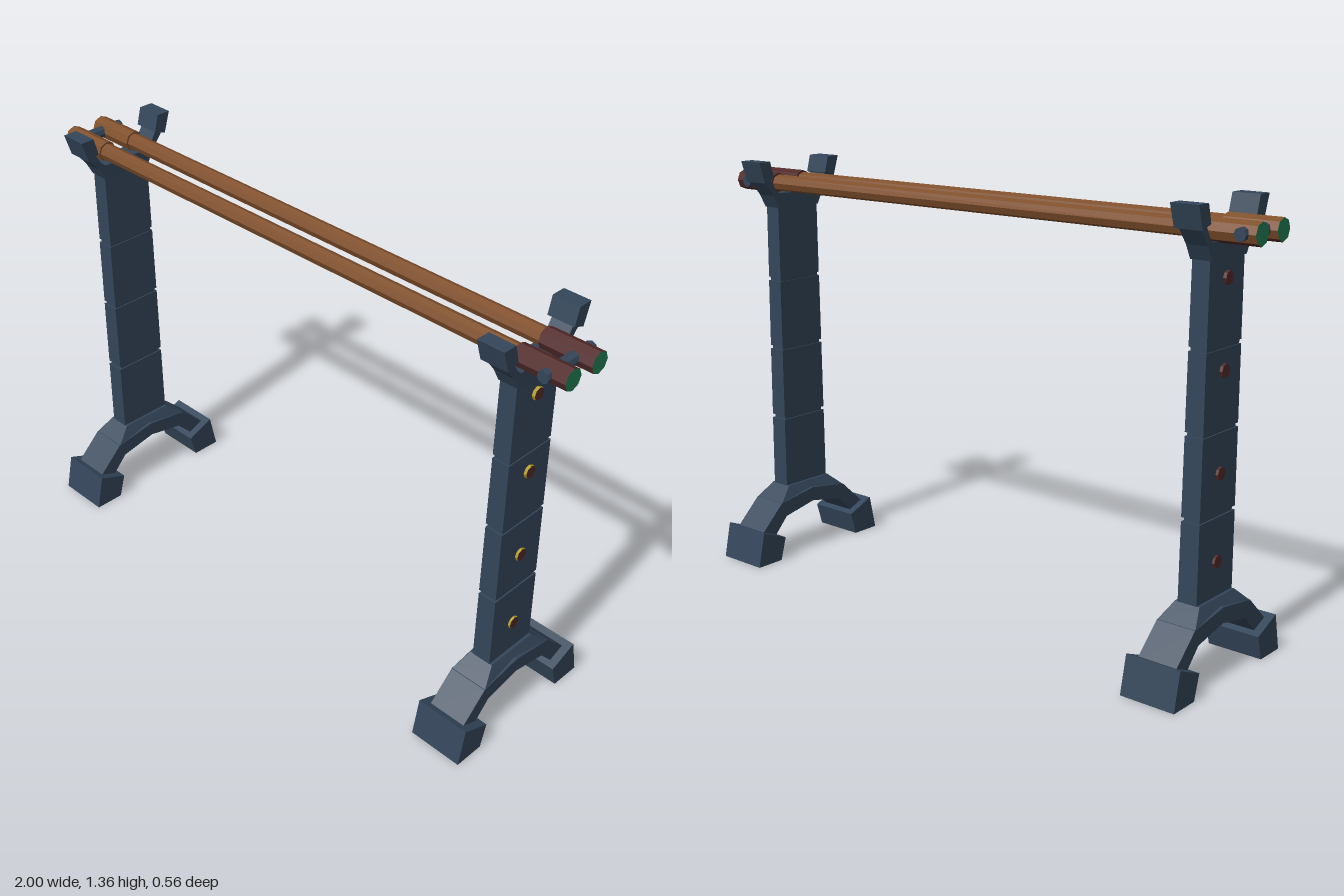
import * as THREE from 'three';

const mat = (name, color) => {
  const m = new THREE.MeshStandardMaterial({ color, flatShading: true });
  m.name = name;
  return m;
};

export function createModel() {
  const slate = mat('slate blue', 0x34465a);
  const wood = mat('wood brown', 0x80502c);
  const maroon = mat('dark maroon', 0x532a2a);
  const green = mat('pole end green', 0x218056);
  const yellow = mat('stud yellow', 0xb09a22);

  const root = new THREE.Group();
  root.name = 'doublePoleStand';

  const add = (parent, name, geometry, material, x = 0, y = 0, z = 0) => {
    const mesh = new THREE.Mesh(geometry, material);
    mesh.name = name;
    mesh.position.set(x, y, z);
    parent.add(mesh);
    return mesh;
  };
  // Extrudes a [z, y] outline along x, centred on x = 0
  const slab = (points, halfX) => {
    const shape = new THREE.Shape(points.map(([z, y]) => new THREE.Vector2(-z, y)));
    const g = new THREE.ExtrudeGeometry(shape, { depth: halfX * 2, bevelEnabled: false });
    return g.translate(0, 0, -halfX).rotateY(Math.PI / 2);
  };
  // Completes a half outline by mirroring it in z
  const mirrored = (half) => [
    ...half,
    ...half.filter(([z]) => z !== 0).reverse().map(([z, y]) => [-z, y]),
  ];
  const rod = (r, length, sides) =>
    new THREE.CylinderGeometry(r, r, length, sides).rotateZ(-Math.PI / 2);

  // Tapered block whose top is narrower in both directions
  const taper = (bx, bz, tx, tz, y0, y1) => {
    const g = new THREE.BoxGeometry(2, y1 - y0, 2);
    const p = g.attributes.position;
    for (let i = 0; i < p.count; i++) {
      const top = p.getY(i) > 0;
      p.setX(i, p.getX(i) * (top ? tx : bx));
      p.setZ(i, p.getZ(i) * (top ? tz : bz));
    }
    return g.translate(0, (y0 + y1) / 2, 0);
  };

  const segments = [[0.23, 0.472, 0.093], [0.484, 0.716, 0.0915], [0.727, 0.952, 0.09], [0.964, 1.205, 0.088]];
  const studHeights = [0.342, 0.6, 0.892, 1.147];

  for (const [side, x] of [[-1, -0.84], [1, 0.83]]) {
    const stand = new THREE.Group();
    stand.name = side > 0 ? 'leftStand' : 'rightStand';
    stand.position.x = x;
    root.add(stand);

    // Arched base with a bevelled collar
    add(stand, 'baseArch', slab(mirrored([
      [0, 0.165], [0.126, 0.14], [0.2, 0.062], [0.245, 0.097], [0.147, 0.19], [0, 0.213],
    ]), 0.0625), slate);
    add(stand, 'baseCollar', taper(0.0625, 0.145, 0.04, 0.092, 0.19, 0.236), slate);

    for (const s of [-1, 1]) {
      // Feet and fork tips
      add(stand, 'foot', slab([[0.28, 0], [0.18, 0], [0.158, 0.077], [0.255, 0.117]]
        .map(([z, y]) => [z * s, y]), 0.0885), slate);
      add(stand, 'forkTip', slab([[0.155, 1.288], [0.115, 1.302], [0.13, 1.357], [0.177, 1.357]]
        .map(([z, y]) => [z * s, y]), 0.044), slate);
    }

    // Post: narrow core with four stacked segments
    add(stand, 'postCore', new THREE.BoxGeometry(0.05, 0.98, 0.168), slate, 0, 0.71, 0);
    segments.forEach(([y0, y1, hz], i) =>
      add(stand, 'postSegment', taper(0.031 - i * 0.0008, hz, 0.03 - i * 0.0008, hz - 0.001, y0, y1), slate));

    // Fork head cradling the poles
    add(stand, 'forkHead', slab(mirrored([
      [0, 1.2], [0.087, 1.2], [0.11, 1.242], [0.15, 1.292], [0.125, 1.302], [0.1, 1.262], [0.085, 1.25], [0, 1.248],
    ]), 0.034), slate);

    // Studs on the outer face
    for (const y of studHeights) {
      const face = [side > 0 ? yellow : maroon, maroon, maroon];
      add(stand, 'stud', rod(0.02, 0.02, 8), face, side * 0.028, y, 0);
    }
  }

  for (const z of [-0.055, 0.055]) {
    // Long poles with thicker end sleeves
    add(root, 'pole', rod(0.027, 1.8, 8), wood, 0, 1.28, z);
    add(root, 'leftSleeve', rod(0.033, 0.17, 8), [maroon, green, maroon], 0.915, 1.28, z);
    add(root, 'rightSleeve', rod(0.033, 0.17, 8), [wood, wood, green], -0.915, 1.28, z);
    const under = new THREE.CylinderGeometry(0.034, 0.034, 0.17, 2, 1, true, Math.PI / 4, Math.PI / 2);
    add(root, 'sleeveUnderside', under.rotateZ(-Math.PI / 2), maroon, -0.915, 1.28, z);
  }

  // Cross pins joining the poles at each end
  for (const x of [-0.96, 0.94]) {
    const pin = new THREE.CylinderGeometry(0.019, 0.019, 0.2, 8).rotateX(Math.PI / 2);
    add(root, 'crossPin', pin, slate, x, 1.28, 0);
  }

  return root;
}
